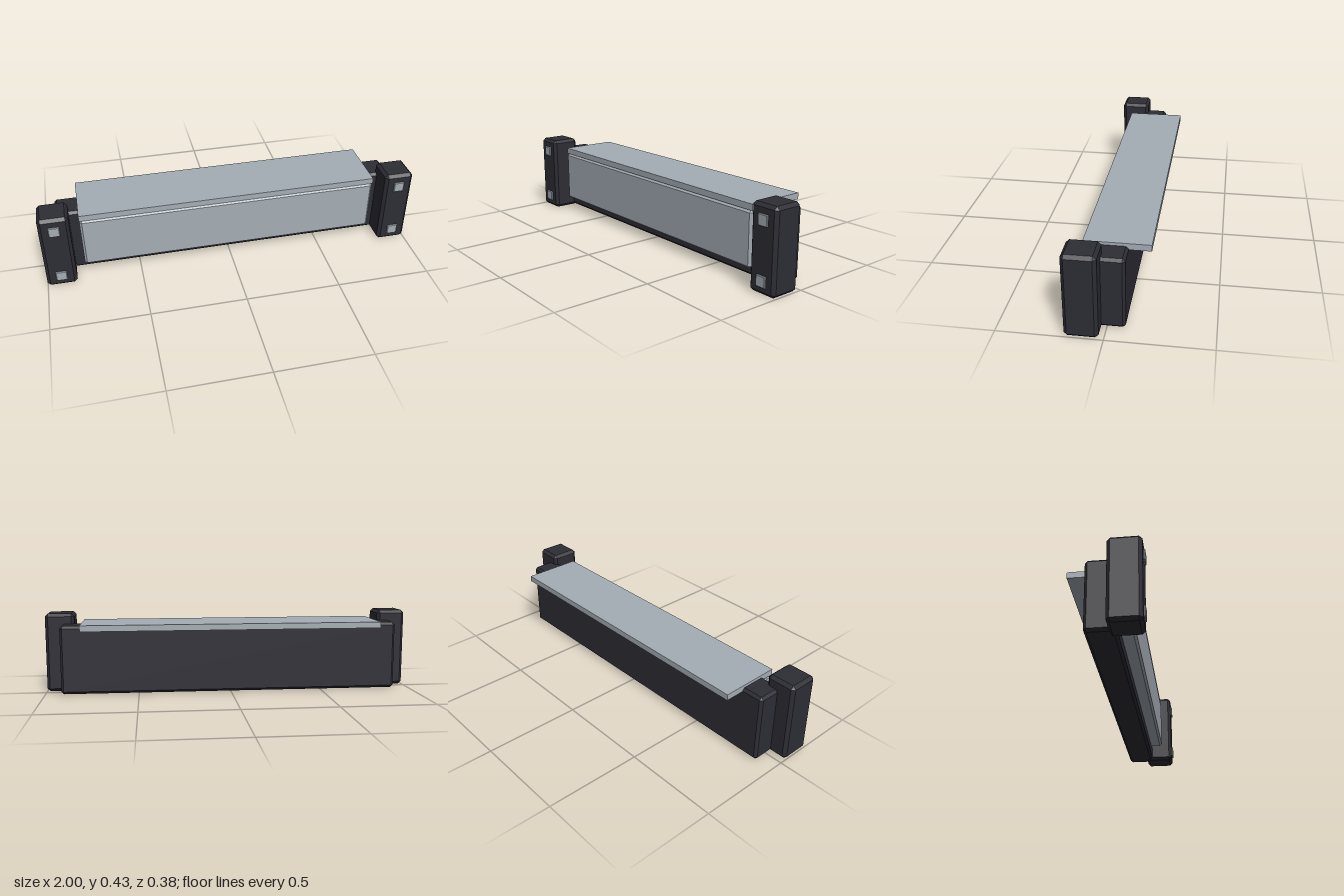
import * as THREE from 'three';
import { ConvexGeometry } from 'three/addons/geometries/ConvexGeometry.js';

// Box with flat chamfers on every edge, given by its min and max corners
function chamferBox(min, max, c) {
  const center = min.map((v, i) => (v + max[i]) / 2);
  const half = min.map((v, i) => (max[i] - v) / 2);
  const points = [];
  for (const sx of [-1, 1]) for (const sy of [-1, 1]) for (const sz of [-1, 1]) {
    for (let face = 0; face < 3; face++) {
      const p = [sx, sy, sz].map((s, i) => s * (half[i] - (i === face ? 0 : c)));
      points.push(new THREE.Vector3(...p));
    }
  }
  return new ConvexGeometry(points).translate(...center);
}

export function createModel() {
  const dark = new THREE.MeshStandardMaterial({ color: 0x2d2d35 });
  dark.name = 'dark charcoal';
  const pale = new THREE.MeshStandardMaterial({ color: 0xa5adb5 });
  pale.name = 'pale grey';

  const model = new THREE.Group();
  model.name = 'bumper';
  const add = (name, geometry, material, parent = model) => {
    const mesh = new THREE.Mesh(geometry, material);
    mesh.name = name;
    parent.add(mesh);
  };

  // Main crossbeam
  add('beam', chamferBox([-0.912, 0.005, -0.087], [0.912, 0.371, 0.06], 0.0135), dark);

  // Bevelled front panel and the flat shelf above it
  add('frontPanel', chamferBox([-0.795, 0.07, 0.04], [0.795, 0.354, 0.127], 0.012), pale);
  const shelf = new THREE.BoxGeometry(1.592, 0.032, 0.314);
  add('topShelf', shelf.translate(0, 0.37, -0.034), pale);

  // End blocks, each with two small square pads
  for (const side of [-1, 1]) {
    const end = new THREE.Group();
    end.name = side > 0 ? 'leftEnd' : 'rightEnd';
    model.add(end);
    const x = side * 0.922;
    add('endBlock', chamferBox([x - 0.078, 0, 0.024], [x + 0.078, 0.427, 0.183], 0.016), dark, end);
    for (const y of [0.067, 0.354]) {
      add('pad', chamferBox([x - 0.028, y - 0.028, 0.178], [x + 0.028, y + 0.028, 0.191], 0.003), pale, end);
    }
  }
  return model;
}
